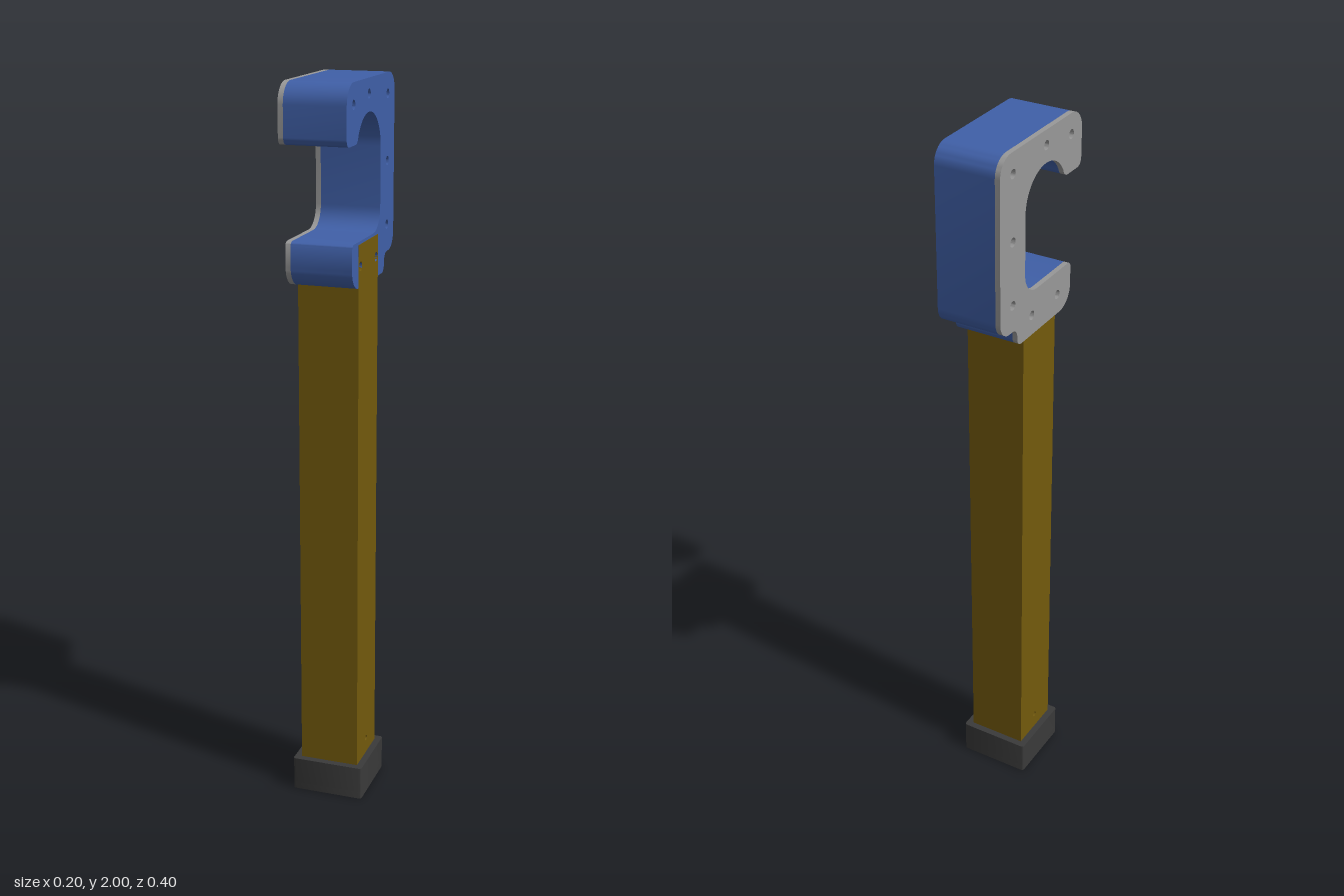
import * as THREE from 'three';
import { toCreasedNormals } from 'three/addons/utils/BufferGeometryUtils.js';

const material = (color) => new THREE.MeshStandardMaterial({ color });

// Closed shape from corners [u, y, radius]; each corner is rounded by its radius.
function roundedShape(corners) {
  const pts = corners.map(([u, y]) => new THREE.Vector2(u, y));
  const shape = new THREE.Shape();
  const n = pts.length;
  pts.forEach((p, i) => {
    const r = corners[i][2] || 0;
    const toward = (q, d) => p.clone().add(q.clone().sub(p).setLength(d));
    const prev = pts[(i + n - 1) % n], next = pts[(i + 1) % n];
    const a = r ? toward(prev, r) : p;
    if (i === 0) shape.moveTo(a.x, a.y); else shape.lineTo(a.x, a.y);
    if (r) {
      const b = toward(next, r), c1 = toward(prev, r * 0.448), c2 = toward(next, r * 0.448);
      shape.bezierCurveTo(c1.x, c1.y, c2.x, c2.y, b.x, b.y);
    }
  });
  shape.closePath();
  return shape;
}

function addHoles(shape, centers, r) {
  for (const [u, y] of centers) {
    const hole = new THREE.Path();
    hole.absarc(u, y, r, 0, Math.PI * 2, true);
    shape.holes.push(hole);
  }
  return shape;
}

// Extrude a side profile (u = -z) across x, from x0 to x1.
function sideExtrude(name, shape, x0, x1, mat) {
  let geo = new THREE.ExtrudeGeometry(shape, { depth: x1 - x0, bevelEnabled: false, curveSegments: 10 });
  geo = toCreasedNormals(geo, 0.6);
  geo.rotateY(Math.PI / 2).translate(x0, 0, 0);
  const mesh = new THREE.Mesh(geo, mat);
  mesh.name = name;
  return mesh;
}

function hookShape() {
  // Round arch on the inside of the hook
  const arch = [];
  for (let i = 0; i <= 20; i++) {
    const a = THREE.MathUtils.degToRad(150 - 7.5 * i);
    arch.push([-0.02 + 0.1 * Math.cos(a), 1.815 + 0.1 * Math.sin(a), 0]);
  }
  return roundedShape([
    [-0.2, 2, 0.055], [-0.2, 1.845, 0.02], [-0.115, 1.845, 0.014],
    ...arch,
    [0.08, 1.596, 0.06], [-0.156, 1.596, 0.015], [-0.156, 1.475, 0.055],
    [0.117, 1.475, 0.02], [0.117, 1.527, 0.025], [0.2, 1.527, 0.045], [0.2, 2, 0.05],
  ]);
}

export function createModel() {
  const group = new THREE.Group();
  const blue = material(0x4060a8), grey = material(0x999999);
  const brown = material(0x735a0c), dark = material(0x3a3a3a);

  const poleBolts = [[-0.087, 1.53], [0.045, 1.53]];
  const bolts = [[-0.145, 1.945], [-0.02, 1.96], [0.14, 1.945], [0.14, 1.77], [0.14, 1.6], ...poleBolts];

  // Hook block and its thin side plate
  group.add(sideExtrude('hook', addHoles(hookShape(), bolts, 0.0125), -0.083, 0.083, blue));
  group.add(sideExtrude('sidePlate', addHoles(hookShape(), bolts, 0.0125), -0.097, -0.083, grey));

  // Square pole with bolt holes and a small pin hole near the foot
  const poleShape = roundedShape([[-0.103, 0.02], [0.061, 0.02], [0.061, 1.588], [-0.103, 1.588]]);
  addHoles(poleShape, poleBolts, 0.0125);
  addHoles(poleShape, [[-0.02, 0.14]], 0.008);
  group.add(sideExtrude('pole', poleShape, -0.0825, 0.0835, brown));

  const pin = new THREE.Mesh(new THREE.CylinderGeometry(0.008, 0.008, 0.14, 16), brown);
  pin.name = 'polePin';
  pin.rotation.z = Math.PI / 2;
  pin.position.set(0, 0.14, 0.02);
  group.add(pin);

  // Foot cap: floor with a centre hole, and walls around the pole
  const square = (h, r) => roundedShape([[-h, -h, r], [h, -h, r], [h, h, r], [-h, h, r]]);
  const footPart = (name, shape, y0, y1) => {
    let geo = new THREE.ExtrudeGeometry(shape, { depth: y1 - y0, bevelEnabled: false, curveSegments: 6 });
    geo = toCreasedNormals(geo, 0.6);
    geo.rotateX(-Math.PI / 2).translate(0, y0, 0.02);
    const mesh = new THREE.Mesh(geo, dark);
    mesh.name = name;
    group.add(mesh);
  };
  footPart('footFloor', addHoles(square(0.102, 0.008), [[0, 0]], 0.008), 0, 0.02);
  const walls = square(0.102, 0.008);
  walls.holes.push(square(0.083, 0));
  footPart('footWalls', walls, 0.02, 0.095);

  return group;
}
